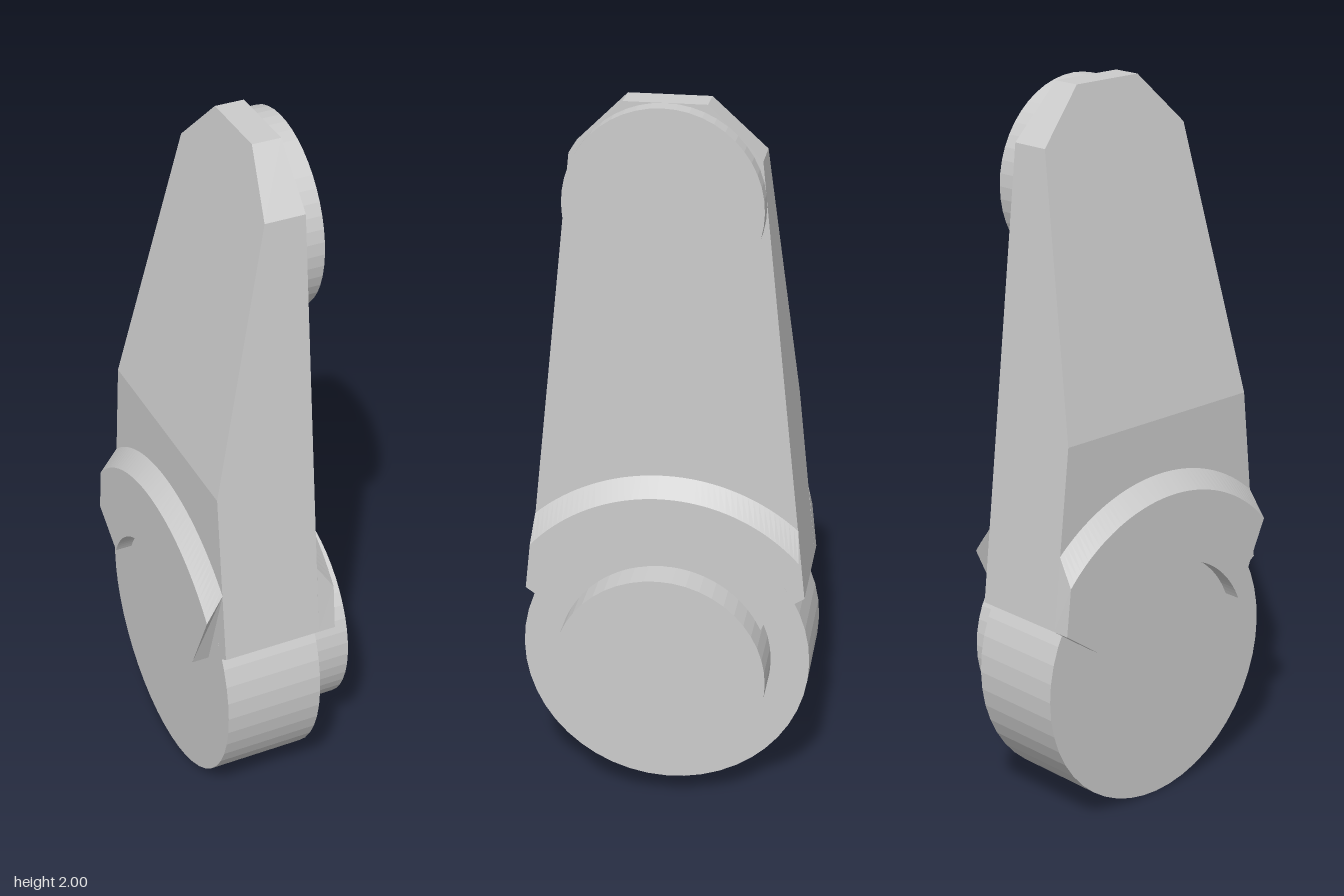
import * as THREE from 'three';

const material = new THREE.MeshStandardMaterial({ color: 0xcccccc, flatShading: true, side: THREE.DoubleSide });
const HUB_Y = 0.406;
const X_IN = -0.187, X_OUT = 0.093; // side faces of the arm

function add(group, name, geometry) {
  const mesh = new THREE.Mesh(geometry, material);
  mesh.name = name;
  group.add(mesh);
}

// Disc with its axis along x, between two x positions
function disc(radius, y, x0, x1) {
  return new THREE.CylinderGeometry(radius, radius, x1 - x0, 48)
    .rotateZ(Math.PI / 2)
    .translate((x0 + x1) / 2, y, 0);
}

// Extrude a (z, y) profile across the thickness of the arm
function slab(shape) {
  return new THREE.ExtrudeGeometry(shape, { depth: X_OUT - X_IN, bevelEnabled: false, curveSegments: 24 })
    .rotateY(Math.PI / 2)
    .translate(X_IN, 0, 0);
}

// Lower arm: straight sides, bottom wrapped around the hub
function armLower() {
  const a = Math.atan2(0.59 - HUB_Y, 0.361);
  const s = new THREE.Shape();
  s.moveTo(0.387, 0.607);
  s.lineTo(0.333, 1.11);
  s.lineTo(-0.333, 1.11);
  s.lineTo(-0.387, 0.607);
  s.absarc(0, HUB_Y, 0.404, Math.PI - a, a, true);
  return slab(s);
}

// Upper arm: chamfered tip, inner face sloping towards the outer one
function armUpper() {
  const half = [[0.333, 1.11], [0.253, 1.857], [0.11, 2]];
  const mirrored = half.map(([z, y]) => [-z, y]).reverse();
  const g = slab(new THREE.Shape([...half, ...mirrored].map(p => new THREE.Vector2(...p))));
  const p = g.attributes.position;
  for (let i = 0; i < p.count; i++) {
    if (p.getX(i) < X_IN + 0.01) p.setX(i, X_IN + (p.getY(i) - 1.11) * 0.2236);
  }
  g.computeVertexNormals();
  return g;
}

// Raised collar round the hub, with a sloped outer arc; side is +1 or -1
function collar(side) {
  const R = 0.548, RTop = 0.5;
  const aBase = 0.73, aTop = 0.84; // half-angles where the arcs meet the arm's edges
  const aIn = Math.atan2(0.527 - HUB_Y, 0.275);
  const s = new THREE.Shape();
  s.moveTo(0.387, 0.607);
  s.absarc(0, HUB_Y, R, Math.PI / 2 - aBase, Math.PI / 2 + aBase, false);
  s.lineTo(-0.387, 0.607);
  s.absarc(0, HUB_Y, 0.297, Math.PI - aIn, aIn, true);
  const g = new THREE.ExtrudeGeometry(s, { depth: 0.049, bevelEnabled: false, curveSegments: 24 });
  // Pull the outer arc of the raised face inwards
  const p = g.attributes.position;
  for (let i = 0; i < p.count; i++) {
    const x = p.getX(i), y = p.getY(i) - HUB_Y;
    if (p.getZ(i) > 0.02 && Math.hypot(x, y) > 0.53) {
      const a = Math.atan2(x, y) * aTop / aBase;
      p.setXY(i, RTop * Math.sin(a), HUB_Y + RTop * Math.cos(a));
    }
  }
  g.computeVertexNormals();
  return g.rotateY(side * Math.PI / 2).translate(side > 0 ? X_OUT : X_IN, 0, 0);
}

export function createModel() {
  const group = new THREE.Group();
  group.name = 'pivotArm';
  add(group, 'armLower', armLower());
  add(group, 'armUpper', armUpper());
  add(group, 'hub', disc(0.405, 0.405, X_IN, X_OUT));
  add(group, 'hubCap', disc(0.297, HUB_Y, X_OUT, 0.235));
  add(group, 'tipDisc', disc(0.265, 1.735, X_OUT, 0.143));
  add(group, 'outerCollar', collar(1));
  add(group, 'innerCollar', collar(-1));
  return group;
}
